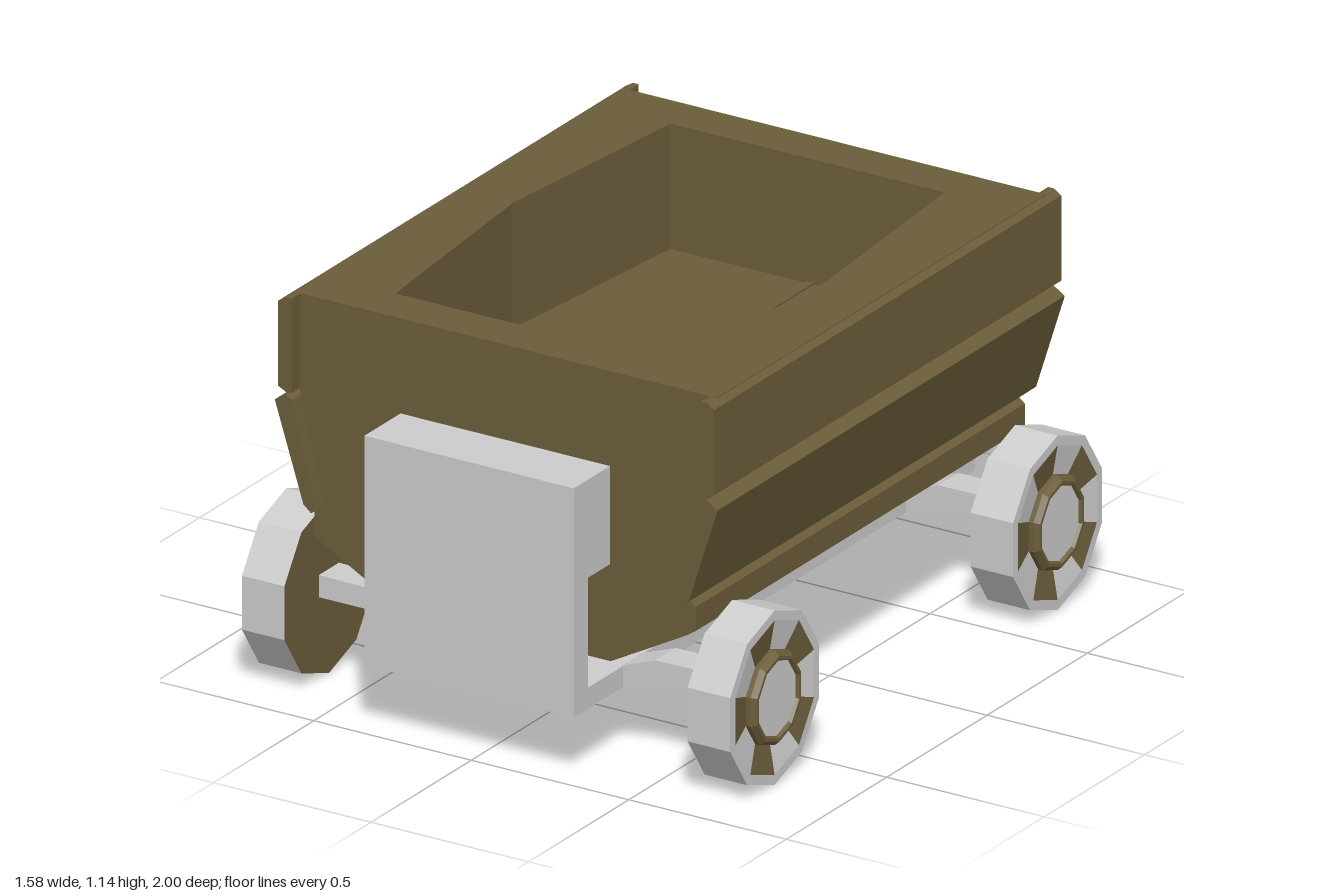
import * as THREE from 'three';

const grey = new THREE.MeshStandardMaterial({ color: 0xcccccc, flatShading: true });
const olive = new THREE.MeshStandardMaterial({ color: 0x6b5d3a, flatShading: true });

const toShape = (pts) => new THREE.Shape(pts.map(([x, y]) => new THREE.Vector2(x, y)));

function mesh(name, geometry, material) {
  const m = new THREE.Mesh(geometry, material);
  m.name = name;
  return m;
}

// Outline in x/y, extruded along z and centred on z = 0
function prism(pts, depth) {
  const g = new THREE.ExtrudeGeometry(toShape(pts), { depth, bevelEnabled: false });
  return g.translate(0, 0, -depth / 2);
}

const mirrorX = (pts) => pts.map(([x, y]) => [-x, y]);

// Ten-sided turned part around the x axis; profile points are [radius, x]
function turned(profile, start = 0, segments = 10) {
  const step = Math.PI / 5;
  const g = new THREE.LatheGeometry(
    profile.map(([r, x]) => new THREE.Vector2(r, x)),
    segments, Math.PI / 2 + start * step, segments * step);
  return g.rotateZ(-Math.PI / 2).scale(1, 1, 0.917);
}

function createBin() {
  const bin = new THREE.Group();
  bin.name = 'bin';

  // Lower hull, whose top is the floor of the bin
  const half = [[0.335, 0.3], [0.575, 0.43], [0.605, 0.45], [0.605, 0.52], [0.585, 0.535], [0.645, 0.78]];
  const hull = [...half, ...mirrorX(half).reverse()];
  bin.add(mesh('lowerHull', prism(hull, 1.64), olive));

  // Upper hull with a six-sided opening
  const upper = toShape([[-0.672, -0.82], [0.672, -0.82], [0.672, 0.82], [-0.672, 0.82]]);
  upper.holes.push(toShape([[-0.435, -0.685], [-0.5, 0], [-0.435, 0.685],
    [0.435, 0.685], [0.495, 0], [0.435, -0.685]]));
  const upperGeo = new THREE.ExtrudeGeometry(upper, { depth: 0.365, bevelEnabled: false });
  upperGeo.rotateX(-Math.PI / 2).translate(0, 0.78, 0);
  // Narrow the lower edge of the outside so it stays behind the side plates
  const p = upperGeo.attributes.position;
  for (let i = 0; i < p.count; i++) {
    if (p.getY(i) < 0.79 && Math.abs(p.getX(i)) > 0.6) p.setX(i, Math.sign(p.getX(i)) * 0.645);
  }
  bin.add(mesh('upperHull', upperGeo, olive));

  // Seam along the middle of the floor
  const seam = new THREE.BoxGeometry(0.024, 0.01, 1.37).translate(0.008, 0.78, 0);
  bin.add(mesh('floorSeam', seam, olive));

  // Side plates, longer than the hull at both ends
  const topPlate = [[0.668, 0.87], [0.692, 0.882], [0.692, 1.13], [0.668, 1.145], [0.65, 1.145], [0.65, 0.87]];
  const slantPlate = [[0.588, 0.535], [0.612, 0.555], [0.703, 0.84], [0.668, 0.862], [0.65, 0.85], [0.572, 0.545]];
  for (const flip of [(q) => q, mirrorX]) {
    bin.add(mesh('upperSidePlate', prism(flip(topPlate), 1.73), olive));
    bin.add(mesh('slantedSidePlate', prism(flip(slantPlate), 1.73), olive));
  }
  return bin;
}

function createChassis() {
  const chassis = new THREE.Group();
  chassis.name = 'chassis';

  // Floor beam with hooked uprights, drawn in z/y and extruded across x
  const half = [[1, 0.2], [1, 0.868], [0.81, 0.868], [0.81, 0.582], [0.93, 0.582], [0.93, 0.262]];
  const frame = prism([...half, ...mirrorX(half).reverse()], 0.665).rotateY(Math.PI / 2);
  chassis.add(mesh('frame', frame, grey));

  // Cranked axle arms
  const arm = [[0.3, 0.2], [0.335, 0.2], [0.435, 0.24], [0.66, 0.24],
    [0.66, 0.305], [0.435, 0.302], [0.335, 0.265], [0.3, 0.25]];
  for (const z of [-0.705, 0.705]) {
    for (const flip of [(q) => q, mirrorX]) {
      chassis.add(mesh('axleArm', prism(flip(arm), 0.1).translate(0, 0, z), grey));
    }
  }
  return chassis;
}

function createWheel() {
  const wheel = new THREE.Group();
  wheel.name = 'wheel';
  wheel.add(mesh('innerDisc', turned([[0, 0.64], [0.254, 0.64]]), olive));
  wheel.add(mesh('tyre', turned([[0.254, 0.64], [0.254, 0.775], [0.225, 0.775]]), grey));
  // Dished ring of alternating panels
  for (let i = 0; i < 10; i++) {
    wheel.add(mesh('rimPanel', turned([[0.225, 0.775], [0.138, 0.76]], i, 1), i % 2 ? olive : grey));
  }
  wheel.add(mesh('hubRing',
    turned([[0.138, 0.76], [0.138, 0.775], [0.125, 0.79], [0.115, 0.79], [0.11, 0.78]]), olive));
  wheel.add(mesh('hubCap', turned([[0.11, 0.78], [0, 0.78]]), grey));
  return wheel;
}

export function createModel() {
  const model = new THREE.Group();
  model.name = 'mineCart';

  const bin = createBin();
  const chassis = createChassis();
  bin.position.x = chassis.position.x = -0.007;
  model.add(bin, chassis);

  for (const z of [-0.705, 0.705]) {
    for (const side of [0, Math.PI]) {
      const wheel = createWheel();
      wheel.position.set(0, 0.255, z);
      wheel.rotation.y = side;
      model.add(wheel);
    }
  }
  return model;
}
